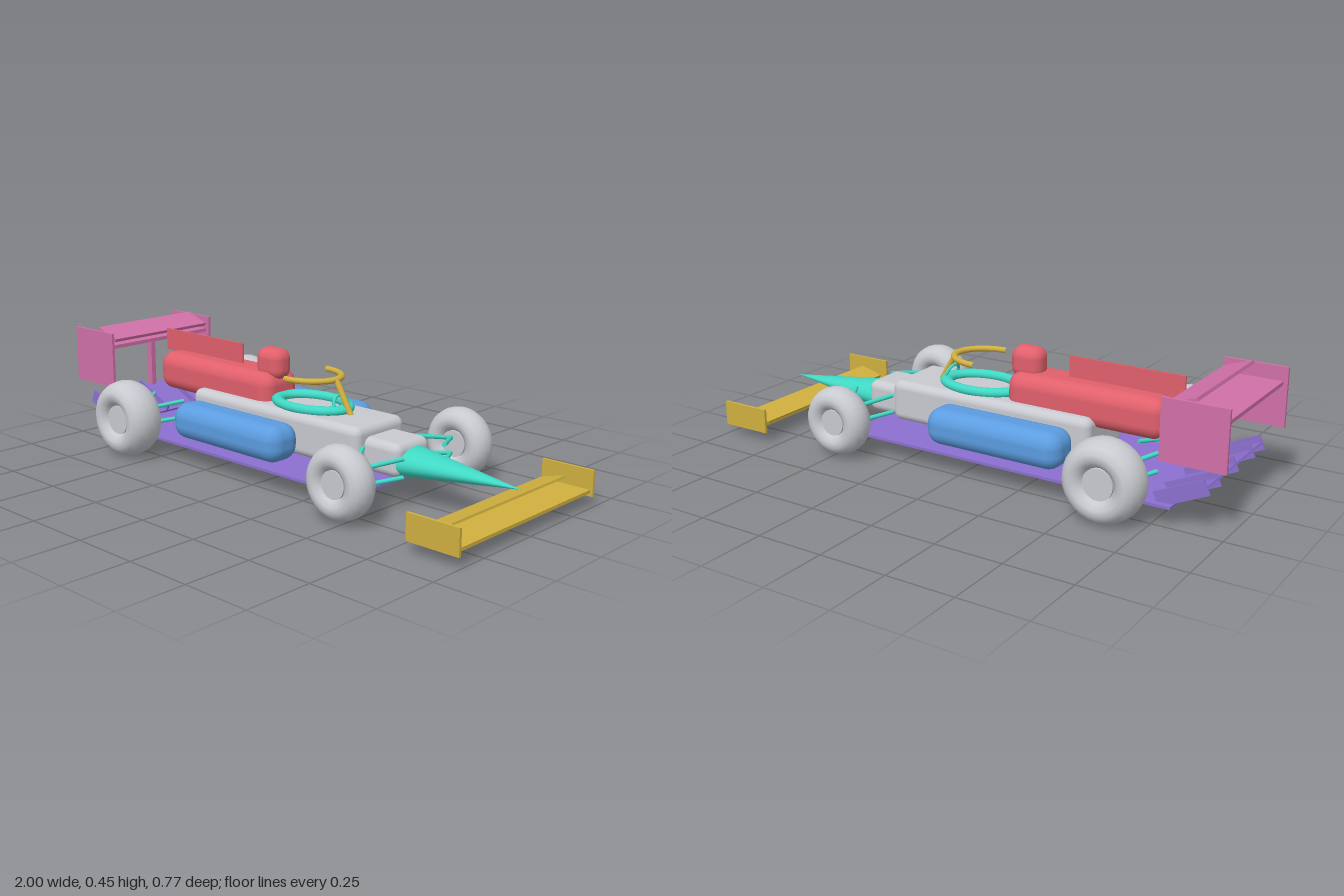
import * as THREE from 'three';
import { RoundedBoxGeometry } from 'three/addons/geometries/RoundedBoxGeometry.js';

const paint = (name, color) => {
  const m = new THREE.MeshStandardMaterial({ color });
  m.name = name;
  return m;
};

export function createModel() {
  const grey = paint('light grey', 0xc8cad0);
  const red = paint('red', 0xe0606c);
  const blue = paint('blue', 0x5c9ce0);
  const purple = paint('purple', 0x8c70d0);
  const pink = paint('pink', 0xd070a8);
  const gold = paint('gold', 0xd0b040);
  const teal = paint('teal', 0x40d8c4);

  const car = new THREE.Group();
  car.name = 'raceCar';

  const add = (name, geometry, material, x = 0, y = 0, z = 0) => {
    const mesh = new THREE.Mesh(geometry, material);
    mesh.name = name;
    mesh.position.set(x, y, z);
    car.add(mesh);
    return mesh;
  };
  // Boxes given by their limits along x and y, and their depth about a z centre
  const box = (name, material, x0, x1, y0, y1, depth, z = 0) =>
    add(name, new THREE.BoxGeometry(x1 - x0, y1 - y0, depth), material, (x0 + x1) / 2, (y0 + y1) / 2, z);
  const softBox = (name, material, x0, x1, y0, y1, depth, radius, z = 0) =>
    add(name, new RoundedBoxGeometry(x1 - x0, y1 - y0, depth, 5, radius), material, (x0 + x1) / 2, (y0 + y1) / 2, z);
  // Round bar between two points
  const rod = (name, material, from, to, radius) => {
    const a = new THREE.Vector3(...from), b = new THREE.Vector3(...to);
    const dir = b.clone().sub(a);
    const mesh = add(name, new THREE.CylinderGeometry(radius, radius, dir.length(), 12), material);
    mesh.position.copy(a).add(b).multiplyScalar(0.5);
    mesh.quaternion.setFromUnitVectors(new THREE.Vector3(0, 1, 0), dir.normalize());
    return mesh;
  };

  // Body
  softBox('chassis', grey, -0.45, 0.385, 0.103, 0.257, 0.262, 0.03);
  softBox('noseBox', grey, 0.34, 0.53, 0.1, 0.22, 0.18, 0.03);
  const cone = new THREE.ConeGeometry(1, 0.44, 32);
  cone.rotateZ(-Math.PI / 2);
  cone.scale(1, 0.053, 0.085);
  add('noseCone', cone, teal, 0.74, 0.147, 0);
  softBox('engineCover', red, -0.7, -0.087, 0.21, 0.357, 0.18, 0.05);
  softBox('airIntake', red, -0.2, -0.076, 0.325, 0.443, 0.092, 0.04);
  box('spineFin', red, -0.74, -0.302, 0.348, 0.433, 0.008);

  // Cockpit
  const rim = new THREE.TorusGeometry(0.1, 0.018, 14, 48);
  rim.rotateX(Math.PI / 2);
  rim.scale(1.48, 1, 0.99);
  add('cockpitRim', rim, teal, 0.06, 0.268, 0);
  const wheelRing = new THREE.TorusGeometry(0.039, 0.006, 10, 32);
  wheelRing.rotateY(Math.PI / 2);
  add('steeringWheel', wheelRing, teal, 0.2, 0.282, 0).rotation.z = 0.35;

  // Head guard: half hoop on one front post
  const hoop = new THREE.TorusGeometry(0.11, 0.011, 12, 32, Math.PI);
  hoop.rotateZ(-Math.PI / 2);
  hoop.rotateX(Math.PI / 2);
  hoop.scale(1.27, 1, 1);
  add('headGuardHoop', hoop, gold, 0.028, 0.37, 0);
  rod('headGuardPost', gold, [0.173, 0.372, 0], [0.243, 0.255, 0], 0.011);

  // Floor and diffuser
  box('floor', purple, -0.82, 0.48, 0.07, 0.08, 0.524);
  const tilt = -0.43;
  box('diffuserPlate', purple, -0.94, -0.75, 0.12, 0.128, 0.48).rotation.z = tilt;
  for (const z of [-0.236, -0.146, 0, 0.146, 0.236]) {
    box('diffuserFin', purple, -0.94, -0.75, 0.098, 0.152, 0.008, z).rotation.z = tilt;
  }

  // Rear wing
  box('rearWingPlane', pink, -0.985, -0.785, 0.377, 0.391, 0.49);
  box('rearWingFlap', pink, -0.885, -0.775, 0.422, 0.434, 0.472).rotation.z = -0.33;
  box('rearWingPost', pink, -0.862, -0.835, 0.185, 0.38, 0.02);

  // Front wing
  box('frontWingPlane', gold, 0.835, 0.99, 0.051, 0.063, 0.74);
  box('frontWingFlap', gold, 0.812, 0.912, 0.081, 0.089, 0.69).rotation.z = 0.27;

  for (const s of [-1, 1]) {
    softBox('sidePod', blue, -0.41, 0.135, 0.1, 0.235, 0.148, 0.055, s * 0.208);
    box('rearWingEndPlate', pink, -1, -0.77, 0.227, 0.441, 0.011, s * 0.252);
    box('frontWingEndPlate', gold, 0.8, 1, 0.04, 0.133, 0.01, s * 0.374);

    // Wheels and suspension: x, y, z, outer radius, width
    for (const [x, y, z, r, width, place] of [
      [-0.613, 0.147, 0.315, 0.145, 0.148, 'rear'],
      [0.483, 0.139, 0.321, 0.128, 0.114, 'front'],
    ]) {
      const tube = r * 0.345;
      const tyre = new THREE.TorusGeometry(r - tube, tube, 14, 28);
      tyre.scale(1, 1, width / 2 / tube);
      add(place + 'Tyre', tyre, grey, x, y, s * z);
      const hub = new THREE.CylinderGeometry(r * 0.38, r * 0.38, width * 0.7, 24);
      hub.rotateX(Math.PI / 2);
      add(place + 'Hub', hub, grey, x, y, s * z);
      for (const [inner, outer] of [[0.19, 0.165], [0.125, 0.108]]) {
        for (const dx of [-0.088, 0.088]) {
          rod(place + 'Wishbone', teal, [x + dx, inner, s * 0.11], [x, outer, s * 0.268], 0.008);
        }
      }
    }
  }
  return car;
}
